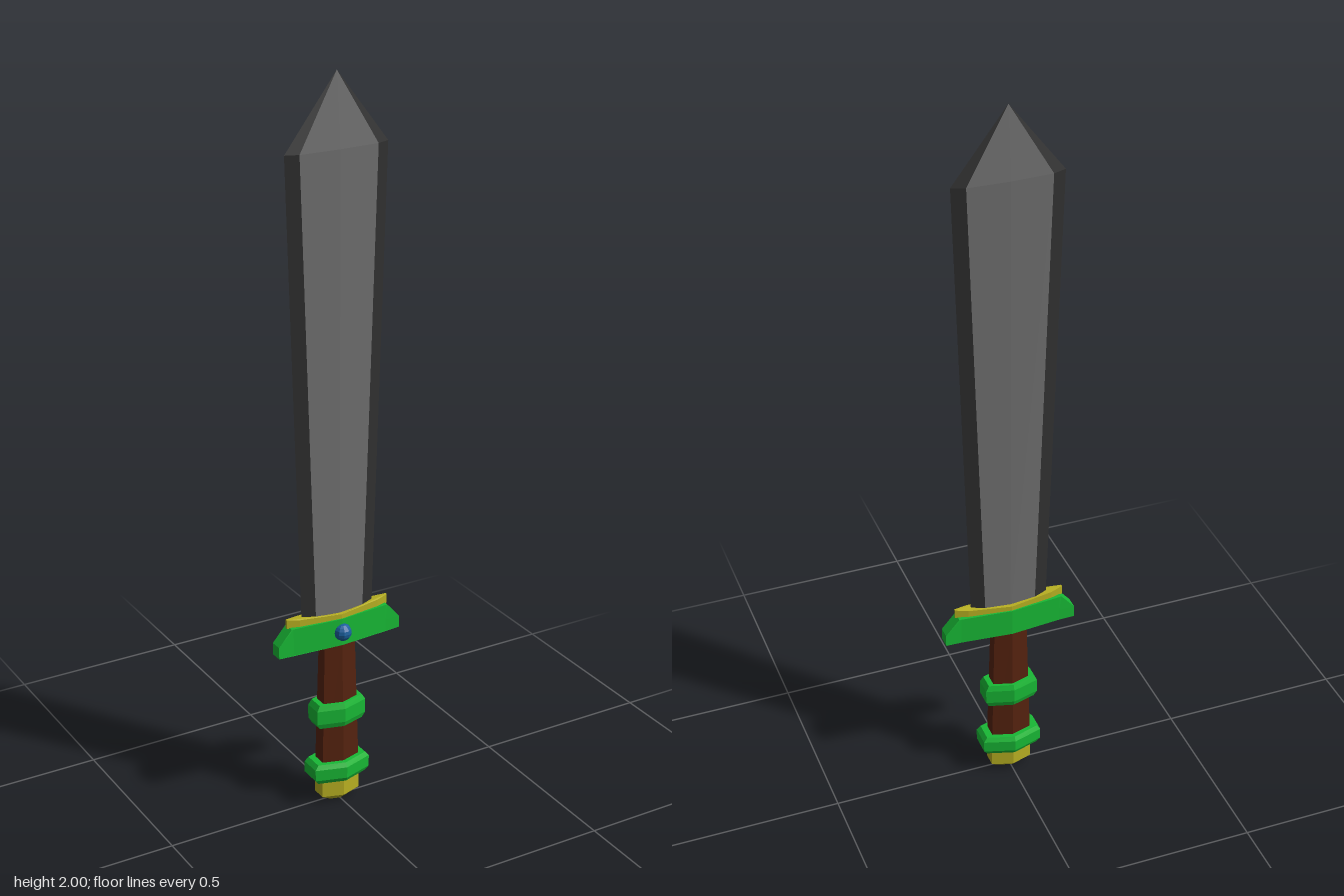
import * as THREE from 'three';

const COLORS = {
  steel: 0x6e6e6e, edge: 0x303030, green: 0x18b835,
  gold: 0xb8b022, wood: 0x55220f, gem: 0x1a5f9c,
};

function makeMesh(name, geometry, color) {
  const material = new THREE.MeshStandardMaterial({ color, flatShading: true });
  const mesh = new THREE.Mesh(geometry, material);
  mesh.name = name;
  return mesh;
}

// Joins stacked rings of points (counter-clockwise from above) into a capped solid.
// With "sides", only those side strips are built and the ends stay open.
function loft(rings, sides) {
  const out = [];
  const tri = (a, b, c) => out.push(...a, ...b, ...c);
  const n = rings[0].length;
  for (let r = 0; r < rings.length - 1; r++) {
    const lo = rings[r], hi = rings[r + 1];
    for (let i = 0; i < n; i++) {
      if (sides && !sides.includes(i)) continue;
      const j = (i + 1) % n;
      tri(lo[i], lo[j], hi[j]);
      tri(lo[i], hi[j], hi[i]);
    }
  }
  if (!sides) {
    const bottom = rings[0], top = rings[rings.length - 1];
    for (let i = 1; i < n - 1; i++) {
      tri(top[0], top[i], top[i + 1]);
      tri(bottom[0], bottom[i + 1], bottom[i]);
    }
  }
  const g = new THREE.BufferGeometry();
  g.setAttribute('position', new THREE.Float32BufferAttribute(out, 3));
  g.computeVertexNormals();
  return g;
}

// Mirrors a front-right quarter outline of [x, z] points (from x = 0 outwards) into a ring.
// "lift" raises the outer ends.
function ring(y, quarter, lift = 0) {
  const back = quarter.filter(p => p[1] > 0).reverse().map(([x, z]) => [x, -z]);
  const right = [...quarter, ...back];
  const left = right.slice(1, -1).reverse().map(([x, z]) => [-x, z]);
  const maxX = Math.max(...quarter.map(p => p[0])) || 1;
  return [...right, ...left].map(([x, z]) => [x, y + lift * (Math.abs(x) / maxX) ** 2, z]);
}

// Flattened hexagon: flat left and right sides, a ridge at front and back.
const hex = (y, w, ridge, side) => ring(y, [[0, ridge], [w, side]]);

// Bevelled hexagonal band
function band(y0, y1, w, d) {
  const b = (y1 - y0) * 0.22, k = 0.88;
  return loft([
    hex(y0, w * k, d * k, d * 0.48), hex(y0 + b, w, d, d * 0.54),
    hex(y1 - b, w, d, d * 0.54), hex(y1, w * k, d * k, d * 0.48),
  ]);
}

export function createModel() {
  const sword = new THREE.Group();
  sword.name = 'sword';

  // Blade: ridged faces with dark bevelled edges
  const blade = new THREE.Group();
  blade.name = 'blade';
  const section = (y, inner, outer, ridge, z) => ring(y, [[0, ridge], [inner, z], [outer, 0]]);
  const tip = Array.from({ length: 8 }, () => [0, 2, 0]);
  const bladeRings = [
    section(0.55, 0.07, 0.106, 0.017, 0.013),
    section(1.81, 0.11, 0.145, 0.017, 0.013),
    tip,
  ];
  blade.add(makeMesh('bladeFaces', loft(bladeRings, [0, 3, 4, 7]), COLORS.steel));
  blade.add(makeMesh('bladeEdges', loft(bladeRings, [1, 2, 5, 6]), COLORS.edge));
  sword.add(blade);

  // Gold collar between blade and guard
  const collar = [[0, 0.028], [0.118, 0.013], [0.152, 0.003]];
  sword.add(makeMesh('collar', loft([
    ring(0.54, collar, 0.01), ring(0.565, collar, 0.01),
  ]), COLORS.gold));

  // Guard with sloping shoulders
  const guard = (y, end) => ring(y, [[0, 0.031], [0.14, 0.018], [end, 0.017]]);
  sword.add(makeMesh('guard', loft([
    guard(0.475, 0.183), guard(0.508, 0.183), guard(0.552, 0.145),
  ]), COLORS.green));

  // Gem on the front of the guard
  const gem = makeMesh('gem', new THREE.SphereGeometry(0.024, 10, 8), COLORS.gem);
  gem.position.set(0, 0.514, 0.031);
  sword.add(gem);

  // Grip and its bands
  sword.add(makeMesh('grip', loft([
    hex(0.06, 0.057, 0.038, 0.021), hex(0.48, 0.046, 0.029, 0.016),
  ]), COLORS.wood));
  sword.add(makeMesh('middleBand', band(0.235, 0.305, 0.074, 0.046), COLORS.green));
  sword.add(makeMesh('lowerBand', band(0.07, 0.127, 0.083, 0.056), COLORS.green));

  // Pommel
  sword.add(makeMesh('pommel', loft([
    hex(0, 0.026, 0.018, 0.01), hex(0.02, 0.057, 0.039, 0.021), hex(0.08, 0.057, 0.039, 0.021),
  ]), COLORS.gold));

  return sword;
}
